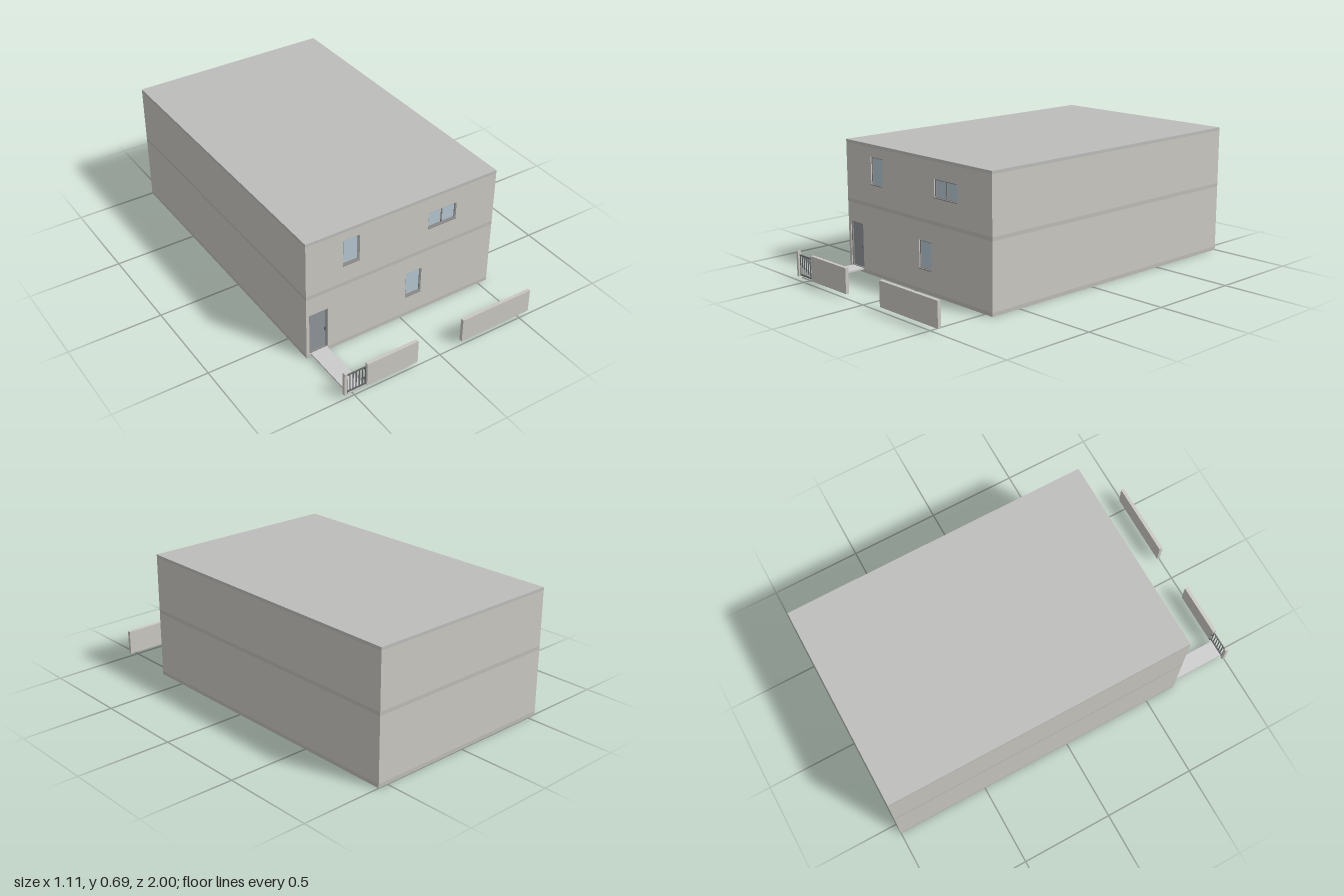
import * as THREE from 'three';

const mat = (color) => new THREE.MeshStandardMaterial({ color });
const WALL = mat(0xc9c7c0), BAND = mat(0xbdbbb5), ROOF = mat(0xbcbcba), FRAME = mat(0x8c8c8c);
const GLASS = mat(0xb4c6d0), DOOR = mat(0x8f959b), IRON = mat(0x66686a), PAVING = mat(0xc0c0be);

const W = 0.555, BACK = -1, FRONT = 0.672, SKIN = 0.02;

// box given by its limits on each axis
function box(parent, name, material, x0, x1, y0, y1, z0, z1) {
  const m = new THREE.Mesh(new THREE.BoxGeometry(x1 - x0, y1 - y0, z1 - z0), material);
  m.position.set((x0 + x1) / 2, (y0 + y1) / 2, (z0 + z1) / 2);
  m.name = name;
  parent.add(m);
  return m;
}

function rect(Type, x0, x1, y0, y1) {
  return new Type().moveTo(x0, y0).lineTo(x1, y0).lineTo(x1, y1).lineTo(x0, y1).closePath();
}

// flat sheet with rectangular openings, its front at z1
function pierced(parent, name, material, [x0, x1, y0, y1], openings, z0, z1) {
  const shape = rect(THREE.Shape, x0, x1, y0, y1);
  openings.forEach((o) => shape.holes.push(rect(THREE.Path, ...o)));
  const geometry = new THREE.ExtrudeGeometry(shape, { depth: z1 - z0, bevelEnabled: false });
  const m = new THREE.Mesh(geometry, material);
  m.position.z = z0;
  m.name = name;
  parent.add(m);
}

// recessed window with one or more panes and a sill
function windowUnit(parent, [x0, x1, y0, y1], panes) {
  const g = new THREE.Group();
  g.name = 'window';
  const t = 0.006, step = (x1 - x0) / panes, holes = [];
  for (let i = 0; i < panes; i++) {
    const a = x0 + i * step, b = a + step;
    holes.push([a + (i ? t / 2 : t), b - (i < panes - 1 ? t / 2 : t), y0 + t, y1 - t]);
  }
  pierced(g, 'windowFrame', FRAME, [x0, x1, y0, y1], holes, FRONT - 0.014, FRONT - 0.006);
  box(g, 'windowGlass', GLASS, x0 + 0.002, x1 - 0.002, y0 + 0.002, y1 - 0.002, FRONT - 0.016, FRONT - 0.011);
  box(g, 'windowSill', FRAME, x0, x1, y0 - 0.002, y0 + 0.003, FRONT - 0.01, FRONT + 0.004);
  parent.add(g);
}

function frontDoor(parent, [x0, x1, y0, y1]) {
  const g = new THREE.Group();
  g.name = 'frontDoor';
  const t = 0.007;
  pierced(g, 'doorFrame', FRAME, [x0, x1, y0, y1], [[x0 + t, x1 - t, y0 + t / 2, y1 - t]], FRONT - 0.016, FRONT - 0.005);
  box(g, 'doorLeaf', DOOR, x0 + 0.003, x1 - 0.003, y0 + 0.002, y1 - 0.003, FRONT - 0.017, FRONT - 0.012);
  box(g, 'doorHandle', IRON, x1 - 0.017, x1 - 0.012, 0.125, 0.145, FRONT - 0.012, FRONT - 0.005);
  parent.add(g);
}

function gate(parent) {
  const g = new THREE.Group();
  g.name = 'gate';
  const x0 = -0.538, x1 = -0.43, z0 = 0.987, z1 = 0.993;
  box(g, 'gateTopRail', IRON, x0, x1, 0.131, 0.137, z0, z1);
  box(g, 'gateBottomRail', IRON, x0, x1, 0.027, 0.034, z0, z1);
  const bars = 7;
  for (let i = 0; i < bars; i++) {
    const x = x0 + 0.002 + ((x1 - x0 - 0.004) * i) / (bars - 1);
    box(g, 'gateBar', IRON, x - 0.002, x + 0.002, 0.027, 0.137, z0 + 0.001, z1 - 0.001);
  }
  for (const y of [0.05, 0.112]) box(g, 'gateHinge', IRON, x1 - 0.004, x1 + 0.008, y, y + 0.008, 0.974, 0.988);
  parent.add(g);
}

export function createModel() {
  const model = new THREE.Group();
  model.name = 'house';

  // openings in the front: left, right, bottom, top
  const door = [-0.538, -0.431, 0.02, 0.26];
  const lowWindow = [0.025, 0.12, 0.122, 0.267];
  const tallWindow = [-0.35, -0.255, 0.48, 0.624];
  const wideWindow = [0.147, 0.315, 0.496, 0.588];

  // storeys: solid body with a pierced front skin
  const storeys = [
    ['lowerStorey', 0.02, 0.36, [door, lowWindow]],
    ['upperStorey', 0.38, 0.672, [tallWindow, wideWindow]],
  ];
  for (const [name, y0, y1, openings] of storeys) {
    box(model, name, WALL, -W, W, y0, y1, BACK, FRONT - SKIN);
    pierced(model, name + 'Front', WALL, [-W, W, y0, y1], openings, FRONT - SKIN, FRONT);
  }

  // flush bands at ground, floor and roof level
  box(model, 'baseBand', BAND, -W, W, 0, 0.02, BACK, FRONT);
  box(model, 'floorBand', BAND, -W, W, 0.36, 0.38, BACK, FRONT);
  box(model, 'roofSlab', ROOF, -W, W, 0.672, 0.688, BACK, FRONT);

  frontDoor(model, door);
  windowUnit(model, lowWindow, 1);
  windowUnit(model, tallWindow, 1);
  windowUnit(model, wideWindow, 2);

  // path from the door to the gate
  box(model, 'path', PAVING, -0.53, -0.437, 0.014, 0.022, FRONT - 0.002, 0.99);

  // street walls, gate post and gate
  const streetWalls = [[-W, -0.541], [-0.428, -0.135], [0.133, W]];
  streetWalls.forEach(([a, b], i) => box(model, i ? 'gardenWall' : 'gatePost', WALL, a, b, 0.022, 0.153, 0.982, 1));
  gate(model);

  return model;
}
